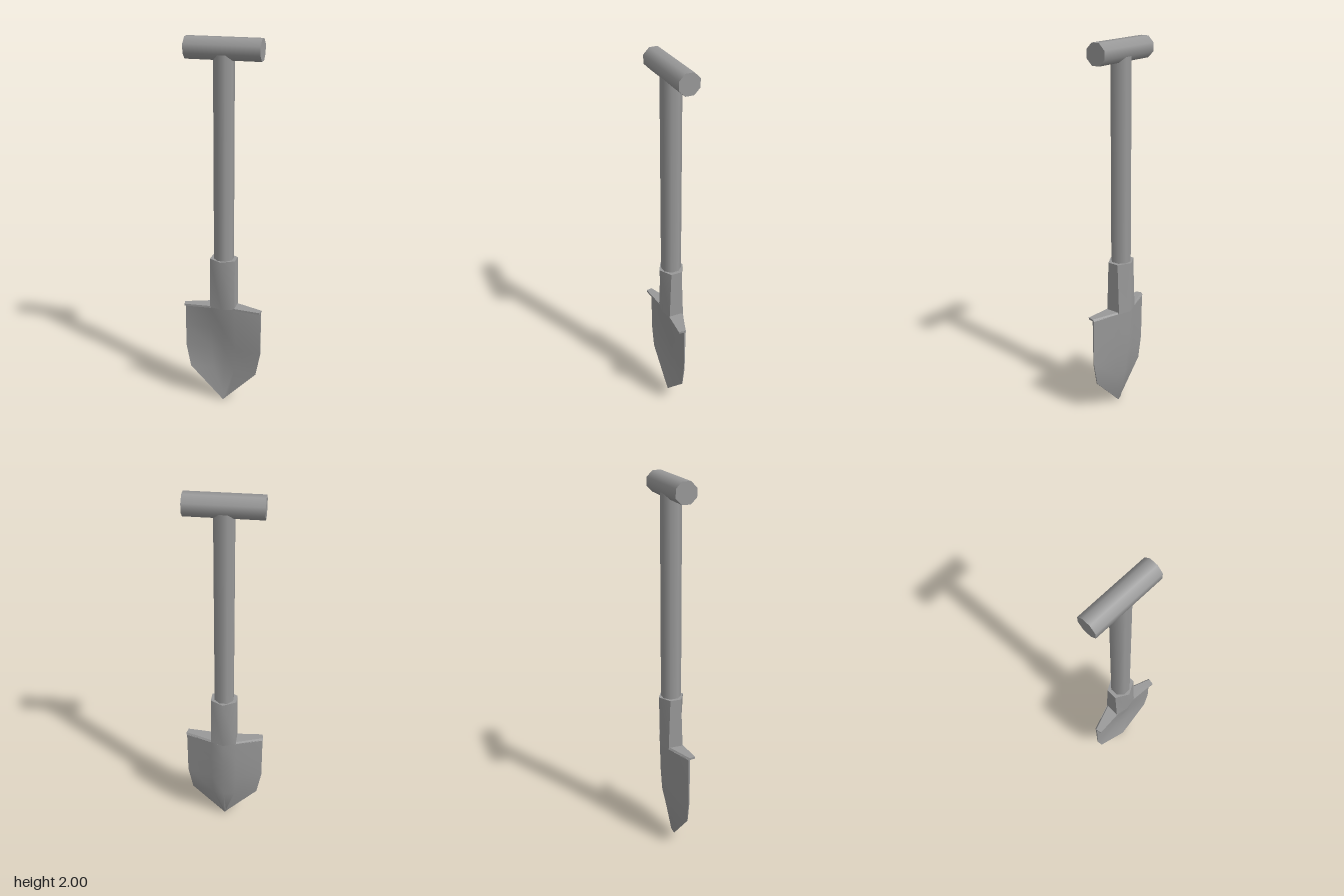
import * as THREE from 'three';
import { toCreasedNormals } from 'three/addons/utils/BufferGeometryUtils.js';

const material = new THREE.MeshStandardMaterial({ color: 0x999999 });

// Skin a stack of loops (top to bottom, each counterclockwise from above) and cap both ends
function loft(loops, crease) {
  const n = loops[0].length;
  const positions = loops.flat(2);
  const index = [];
  for (let r = 0; r < loops.length - 1; r++) {
    for (let j = 0; j < n; j++) {
      const k = (j + 1) % n;
      const a = r * n + j, b = r * n + k, c = a + n, d = b + n;
      index.push(a, c, d, a, d, b);
    }
  }
  [0, loops.length - 1].forEach((r) => {
    const centre = positions.length / 3;
    const mean = [0, 1, 2].map((i) => loops[r].reduce((s, p) => s + p[i], 0) / n);
    positions.push(...mean);
    for (let j = 0; j < n; j++) {
      const a = r * n + j, b = r * n + (j + 1) % n;
      if (r === 0) index.push(centre, a, b);
      else index.push(centre, b, a);
    }
  });
  const geometry = new THREE.BufferGeometry();
  geometry.setAttribute('position', new THREE.Float32BufferAttribute(positions, 3));
  geometry.setIndex(index);
  return toCreasedNormals(geometry, crease);
}

// Eight-sided bar with flats facing the axes, smoothly shaded
function octagonBar(apothem, length) {
  const radius = apothem / Math.cos(Math.PI / 8);
  return new THREE.CylinderGeometry(radius, radius, length, 8).rotateY(Math.PI / 8);
}

function createModel() {
  const group = new THREE.Group();
  const add = (name, geometry) => {
    const mesh = new THREE.Mesh(geometry, material);
    mesh.name = name;
    group.add(mesh);
    return mesh;
  };

  // Cross grip and straight shaft
  const grip = add('grip', octagonBar(0.053, 0.384));
  grip.rotation.z = Math.PI / 2;
  grip.position.y = 1.947;

  const shaft = add('shaft', octagonBar(0.049, 1.13));
  shaft.position.y = 1.375;

  // Six-sided socket with softened ridges at front and back
  const socketLoop = (y, side, front, back) => [
    [-0.068, y, side], [0, y, front], [0.068, y, side],
    [0.068, y, -side], [0, y, back], [-0.068, y, -side],
  ];
  add('socket', loft([
    socketLoop(0.86, 0.03, 0.068, -0.068),
    socketLoop(0.58, 0.04, 0.053, -0.063),
  ], 1.04));

  // Thin-rimmed blade: y, half width, then front and back z at the rim, middle and centre line
  const bladeRows = [
    [0.58, 0.21, 0.024, 0.014, 0.04, -0.04, 0.053, -0.063],
    [0.45, 0.21, 0.023, 0.016, 0.024, -0.035, 0.031, -0.056],
    [0.32, 0.21, 0.023, 0.018, 0.008, -0.026, 0.004, -0.045],
    [0.19, 0.185, 0.023, 0.018, 0.006, -0.012, 0, -0.027],
    [0.03, 0.029, 0.022, 0.018, 0.016, 0.008, 0.013, 0.002],
    [0, 0.001, 0.021, 0.018, 0.021, 0.018, 0.021, 0.018],
  ];
  add('blade', loft(bladeRows.map(([y, w, rimF, rimB, midF, midB, ctrF, ctrB]) => {
    const m = w * 0.324;
    return [
      [-w, y, rimF], [-m, y, midF], [0, y, ctrF], [m, y, midF], [w, y, rimF],
      [w, y, rimB], [m, y, midB], [0, y, ctrB], [-m, y, midB], [-w, y, rimB],
    ];
  }), 0.9));

  // Foot rests: lips folded forward along the top of the blade
  [['leftFootRest', 1], ['rightFootRest', -1]].forEach(([name, side]) => {
    const lipLoop = (y, inset) => {
      const loop = [
        [0.06, y, 0.042], [0.207, y, 0.053],
        [0.213, y, 0.013 + inset], [0.06, y, -0.042 + inset],
      ].map(([x, py, z]) => [x * side, py, z]);
      return side > 0 ? loop : loop.reverse();
    };
    add(name, loft([lipLoop(0.588, 0.008), lipLoop(0.577, 0)], 0.3));
  });

  return group;
}

export { createModel };
